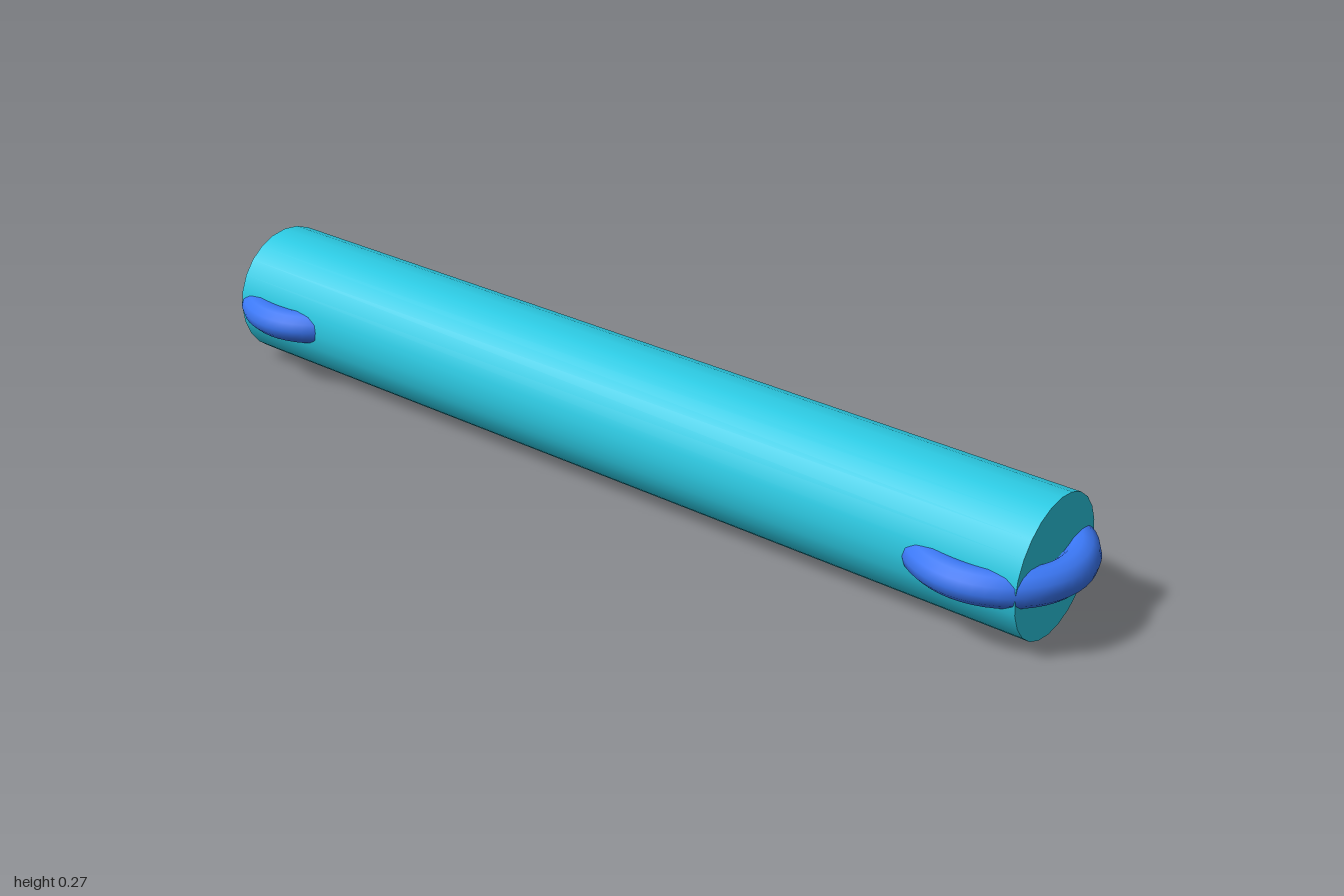
import * as THREE from 'three';

export function createModel() {
  const model = new THREE.Group();
  model.name = 'barWithRings';
  const barMaterial = new THREE.MeshStandardMaterial({ color: 0x2ccbe4 });
  const ringMaterial = new THREE.MeshStandardMaterial({ color: 0x3b78f6 });
  const radius = 0.135;

  // Long round bar lying along x
  const bar = new THREE.Mesh(new THREE.CylinderGeometry(radius, radius, 1.87, 24), barMaterial);
  bar.name = 'bar';
  bar.rotation.z = Math.PI / 2;
  bar.position.y = radius;
  model.add(bar);

  // Horizontal ring through each end of the bar
  const ringGeometry = new THREE.TorusGeometry(0.141, 0.034, 12, 48);
  ringGeometry.rotateX(Math.PI / 2);
  for (const side of [1, -1]) {
    const ring = new THREE.Mesh(ringGeometry, ringMaterial);
    ring.name = side > 0 ? 'leftRing' : 'rightRing';
    ring.position.set(side * 0.825, radius + 0.001, 0);
    model.add(ring);
  }
  return model;
}
